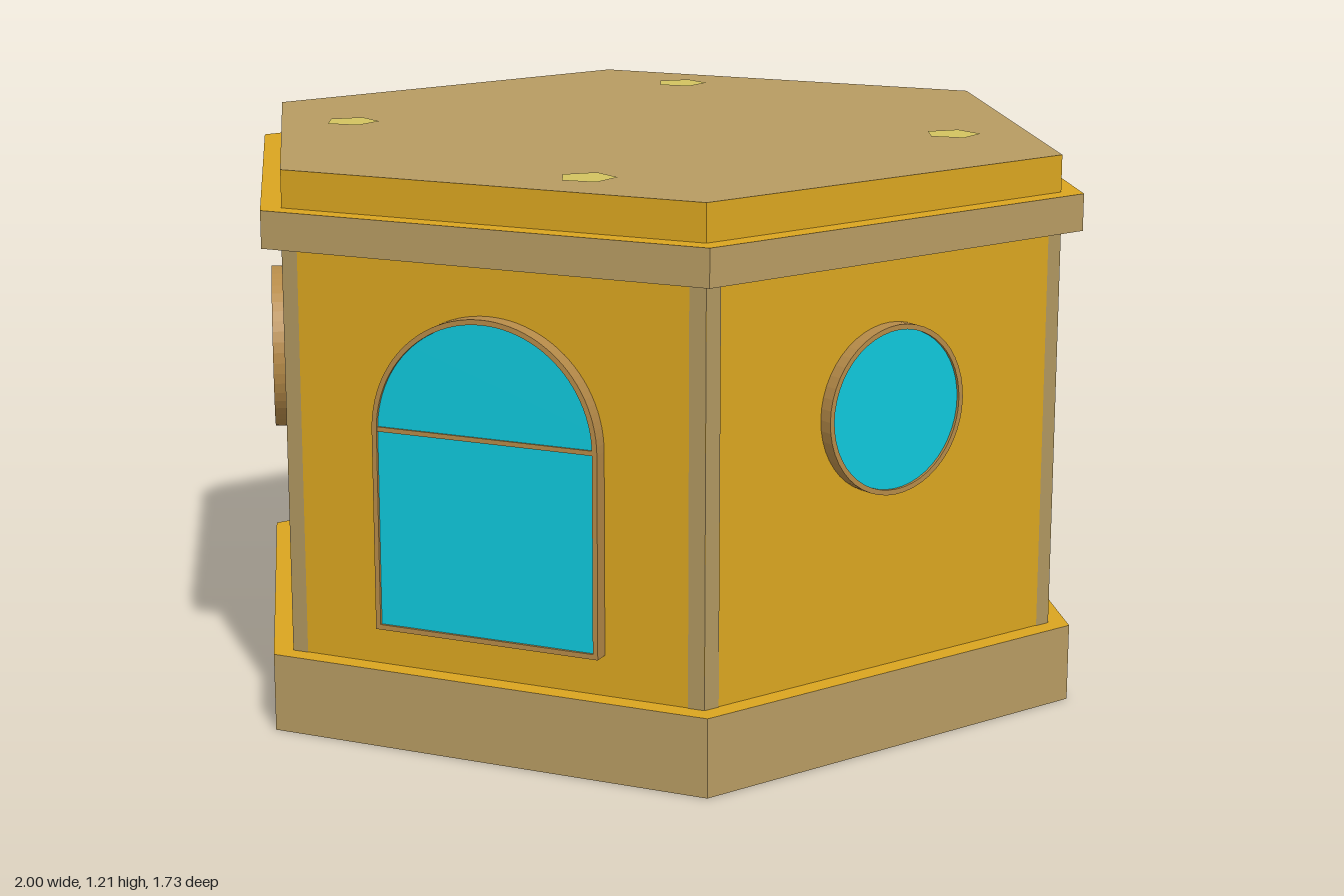
import * as THREE from 'three';

const paint = (color, flatShading = false) => new THREE.MeshStandardMaterial({ color, flatShading });
const gold = paint(0xdaa520, true);
const tan = paint(0xb79b62, true);
const trim = paint(0xaf9660);
const frameMat = paint(0xb58a48);
const glassMat = paint(0x0fc8dc);
const studMat = paint(0xd2c25f);

const WALL_R = 0.95;
const WALL_D = WALL_R * Math.cos(Math.PI / 6); // centre to wall face

function add(parent, name, geometry, material, x = 0, y = 0, z = 0) {
  const mesh = new THREE.Mesh(geometry, material);
  mesh.name = name;
  mesh.position.set(x, y, z);
  parent.add(mesh);
  return mesh;
}

// Six-sided slab with corners on the x axis; materials are side, top, bottom
function hexSlab(parent, name, radius, y0, y1, materials) {
  const g = new THREE.CylinderGeometry(radius, radius, y1 - y0, 6, 1, false, Math.PI / 2);
  add(parent, name, g, materials, 0, (y0 + y1) / 2, 0);
}

// Window outlines, shrunk by an inset
function roundOutline(inset, Type = THREE.Shape) {
  return new Type().absarc(0, 0.73, 0.18 - inset, 0, Math.PI * 2, false);
}

function archOutline(inset, Type = THREE.Shape) {
  const r = 0.255 - inset;
  const s = new Type();
  s.moveTo(-r, 0.257 + inset);
  s.lineTo(r, 0.257 + inset);
  s.lineTo(r, 0.687);
  s.absarc(0, 0.687, r, 0, Math.PI, false);
  s.closePath();
  return s;
}

function addWindow(side, name, outline, front) {
  const back = WALL_D - 0.01;
  const shape = outline(0);
  shape.holes.push(outline(0.011, THREE.Path));
  const options = { depth: front - back, bevelEnabled: false, curveSegments: 24 };
  add(side, name + 'Frame', new THREE.ExtrudeGeometry(shape, options), frameMat, 0, 0, back);
  add(side, name + 'Glass', new THREE.ShapeGeometry(outline(0.01), 24), glassMat, 0, 0, front - 0.006);
}

export function createModel() {
  const model = new THREE.Group();
  model.name = 'hexagonalPavilion';

  // Stacked body
  hexSlab(model, 'base', 1, 0, 0.17, [tan, gold, gold]);
  hexSlab(model, 'walls', WALL_R, 0.16, 1.06, [gold, gold, gold]);
  hexSlab(model, 'cornice', 1, 1.05, 1.13, [tan, gold, gold]);
  hexSlab(model, 'roof', WALL_R, 1.125, 1.21, [gold, tan, gold]);

  // Sides alternate round and arched windows, with trim strips at the corners
  for (let i = 0; i < 6; i++) {
    const side = new THREE.Group();
    side.name = 'side' + (i + 1);
    side.rotation.y = i * Math.PI / 3;
    model.add(side);
    if (i % 2 === 0) {
      addWindow(side, 'roundWindow', roundOutline, 0.853);
    } else {
      addWindow(side, 'archedWindow', archOutline, 0.858);
      add(side, 'windowBar', new THREE.BoxGeometry(0.49, 0.01, 0.02), frameMat, 0, 0.69, 0.846);
    }
    for (const s of [-1, 1]) {
      add(side, 'cornerTrim', new THREE.PlaneGeometry(0.036, 0.88), trim,
        s * (WALL_R / 2 - 0.017), 0.61, WALL_D + 0.002);
    }
  }

  // Five-sided studs on the roof
  for (const [x, z] of [[-0.505, -0.455], [0.465, -0.505], [-0.505, 0.465], [0.465, 0.487]]) {
    const stud = add(model, 'roofStud', new THREE.CircleGeometry(0.062, 5, Math.PI), studMat, x, 1.213, z);
    stud.rotation.x = -Math.PI / 2;
  }
  return model;
}
